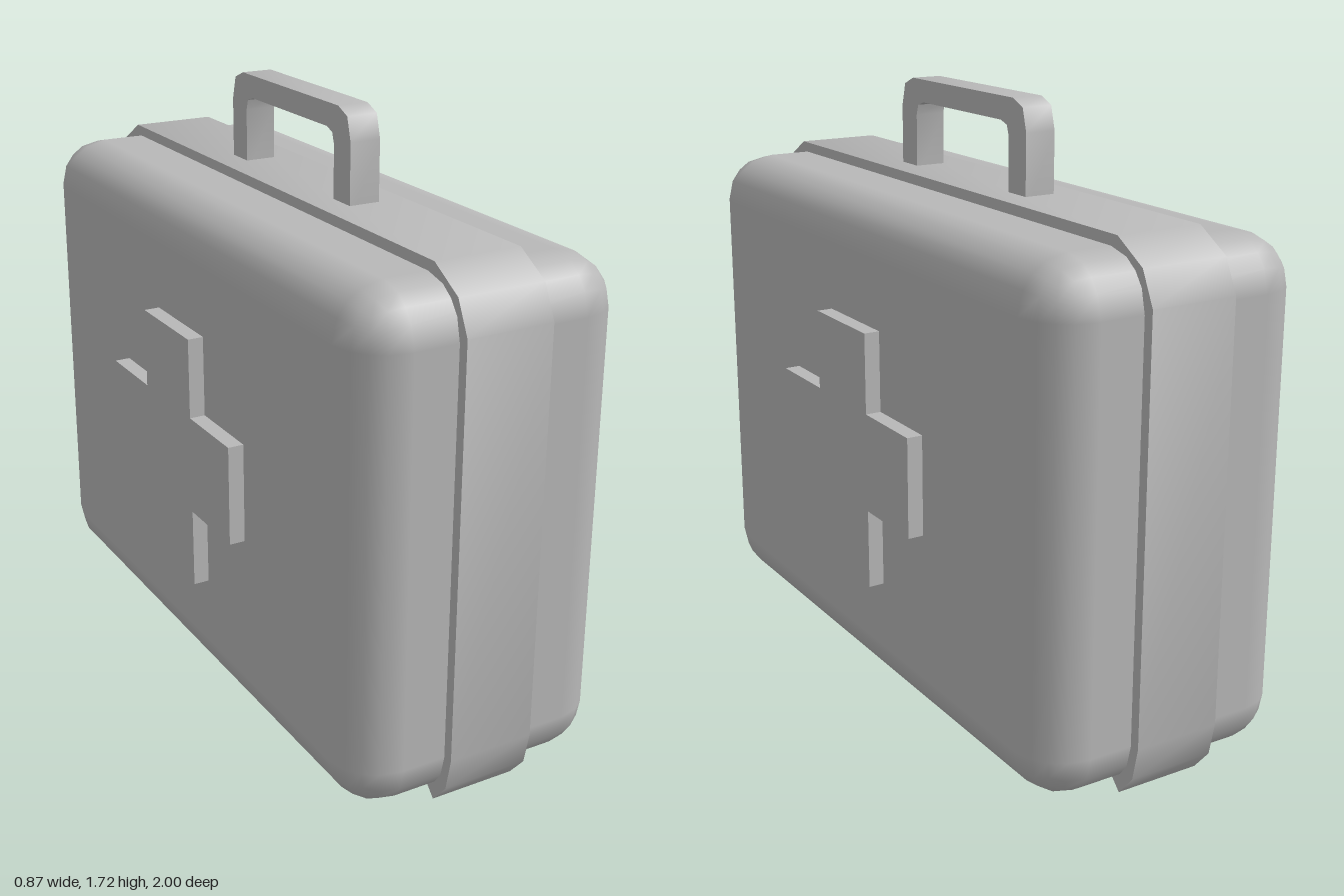
import * as THREE from 'three';
import { toCreasedNormals } from 'three/addons/utils/BufferGeometryUtils.js';
import { RoundedBoxGeometry } from 'three/addons/geometries/RoundedBoxGeometry.js';

const grey = new THREE.MeshStandardMaterial({ color: 0xb8b8b8 });
grey.name = 'light grey';

// Extrude a (z, y) outline along x, centred on x = 0, with rounded bends kept smooth
function slab(points, width) {
  const shape = new THREE.Shape(points.map(([z, y]) => new THREE.Vector2(z, y)));
  const geometry = new THREE.ExtrudeGeometry(shape, { depth: width, bevelEnabled: false });
  geometry.translate(0, 0, -width / 2).rotateY(Math.PI / 2);
  return toCreasedNormals(geometry, 0.9);
}

// Complete a half outline by mirroring it across z = 0
function mirrored(half) {
  return [...half, ...half.map(([z, y]) => [-z, y]).reverse()];
}

function addPart(group, name, geometry) {
  const mesh = new THREE.Mesh(geometry, grey);
  mesh.name = name;
  group.add(mesh);
  return mesh;
}

export function createModel() {
  const group = new THREE.Group();
  group.name = 'firstAidCase';

  // Soft-cornered case
  addPart(group, 'caseBody', new RoundedBoxGeometry(0.78, 1.415, 1.94, 2, 0.14)).position.y = 0.7225;

  // Raised band over the top and ends, curling under and left open at the bottom
  const outer = [[0.925, 0], [0.98, 0.065], [1, 0.16], [1, 1.31], [0.957, 1.4], [0.855, 1.46]];
  const inner = [[0.895, 0.03], [0.95, 0.085], [0.965, 0.165], [0.965, 1.3], [0.93, 1.38], [0.85, 1.42]];
  addPart(group, 'centreBand', slab([...mirrored(outer), ...mirrored(inner).reverse()], 0.25));

  // Carrying handle
  const handleOuter = [[0.335, 1.42], [0.335, 1.63], [0.317, 1.695], [0.27, 1.715]];
  const handleInner = [[0.25, 1.42], [0.25, 1.61], [0.24, 1.64], [0.21, 1.65]];
  addPart(group, 'handle', slab([...mirrored(handleOuter), ...mirrored(handleInner).reverse()], 0.09));

  // Raised cross on each broad side
  const cross = mirrored([
    [0.143, 0.35], [0.143, 0.58], [0.375, 0.58], [0.375, 0.865], [0.143, 0.865], [0.143, 1.095],
  ]);
  for (const side of [1, -1]) {
    const name = side > 0 ? 'leftCross' : 'rightCross';
    addPart(group, name, slab(cross, 0.06)).position.x = side * 0.405;
  }
  return group;
}
